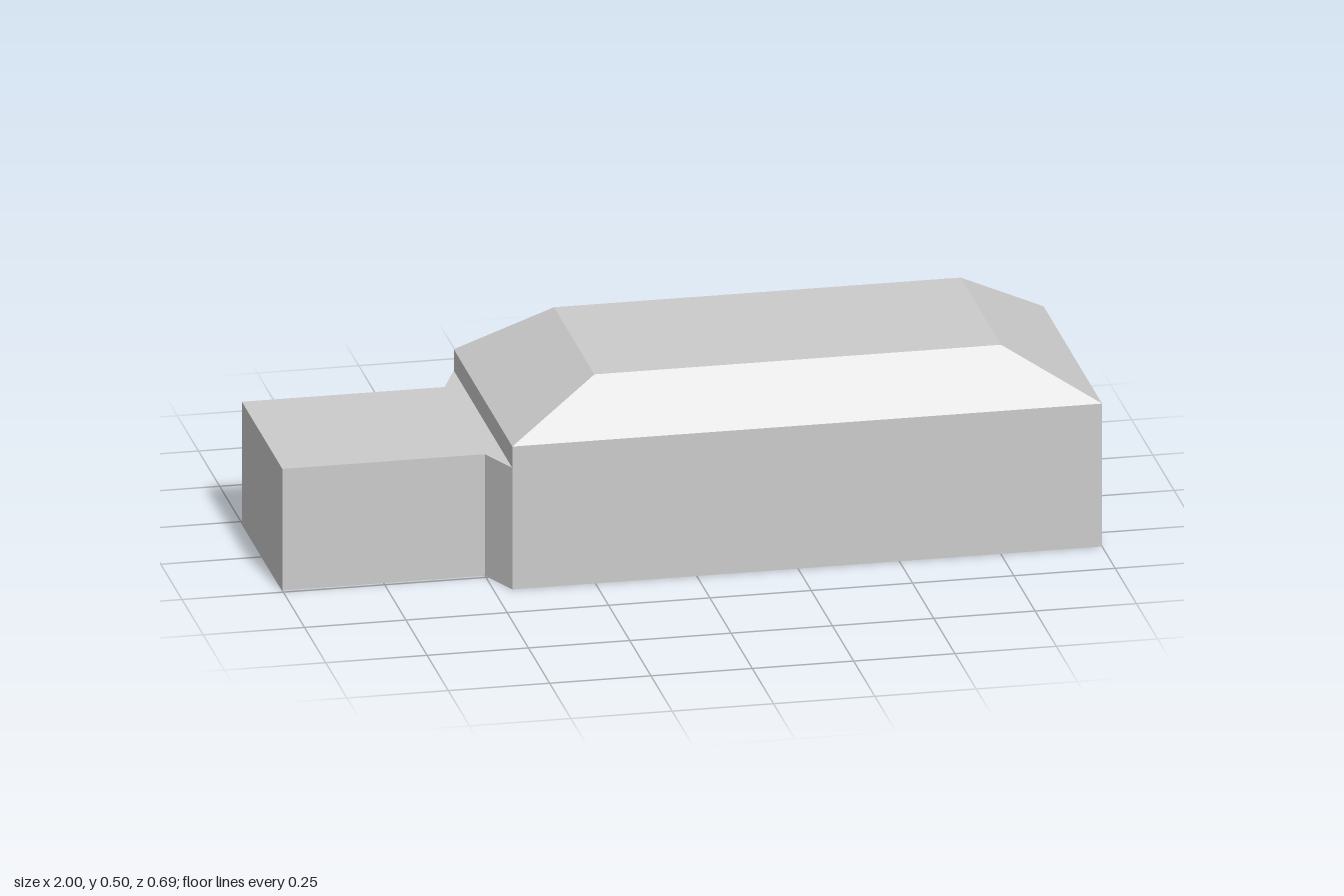
import * as THREE from 'three';

const material = new THREE.MeshStandardMaterial({ color: 0xcccccc, flatShading: true });

// Stacks horizontal outlines ({ y, points: [x, z] }, anticlockwise from above) into a closed solid.
function stack(name, rings) {
  const loops = rings.map(({ y, points }) => points.map(([x, z]) => [x, y, z]));
  const n = loops[0].length;
  const positions = [];
  const tri = (...corners) => corners.forEach((c) => positions.push(...c));

  for (let r = 0; r < loops.length - 1; r++) {
    const low = loops[r], high = loops[r + 1];
    for (let i = 0; i < n; i++) {
      const j = (i + 1) % n;
      tri(low[i], low[j], high[j]);
      tri(low[i], high[j], high[i]);
    }
  }
  const bottom = loops[0], top = loops[loops.length - 1];
  for (let i = 1; i < n - 1; i++) {
    tri(bottom[0], bottom[i + 1], bottom[i]);
    tri(top[0], top[i], top[i + 1]);
  }

  const geometry = new THREE.BufferGeometry();
  geometry.setAttribute('position', new THREE.Float32BufferAttribute(positions, 3));
  geometry.computeVertexNormals();
  const mesh = new THREE.Mesh(geometry, material);
  mesh.name = name;
  return mesh;
}

const rectangle = (x0, x1, z) => [[x0, z], [x1, z], [x1, -z], [x0, -z]];

export function createModel() {
  const model = new THREE.Group();
  model.name = 'building';

  // Main hall: straight walls under a flat-topped hipped roof
  const eaves = rectangle(-0.455, 1, 0.345);
  model.add(stack('mainHall', [
    { y: 0, points: eaves },
    { y: 0.368, points: eaves },
    { y: 0.498, points: rectangle(-0.23, 0.773, 0.238) },
  ]));

  // Lower annex, flaring out where it meets the hall
  const annex = [
    [-0.5, 0.238], [-0.455, 0.345], [-0.455, -0.345],
    [-0.5, -0.238], [-1, -0.238], [-1, 0.238],
  ];
  model.add(stack('annex', [
    { y: 0, points: annex },
    { y: 0.313, points: annex },
  ]));

  return model;
}
